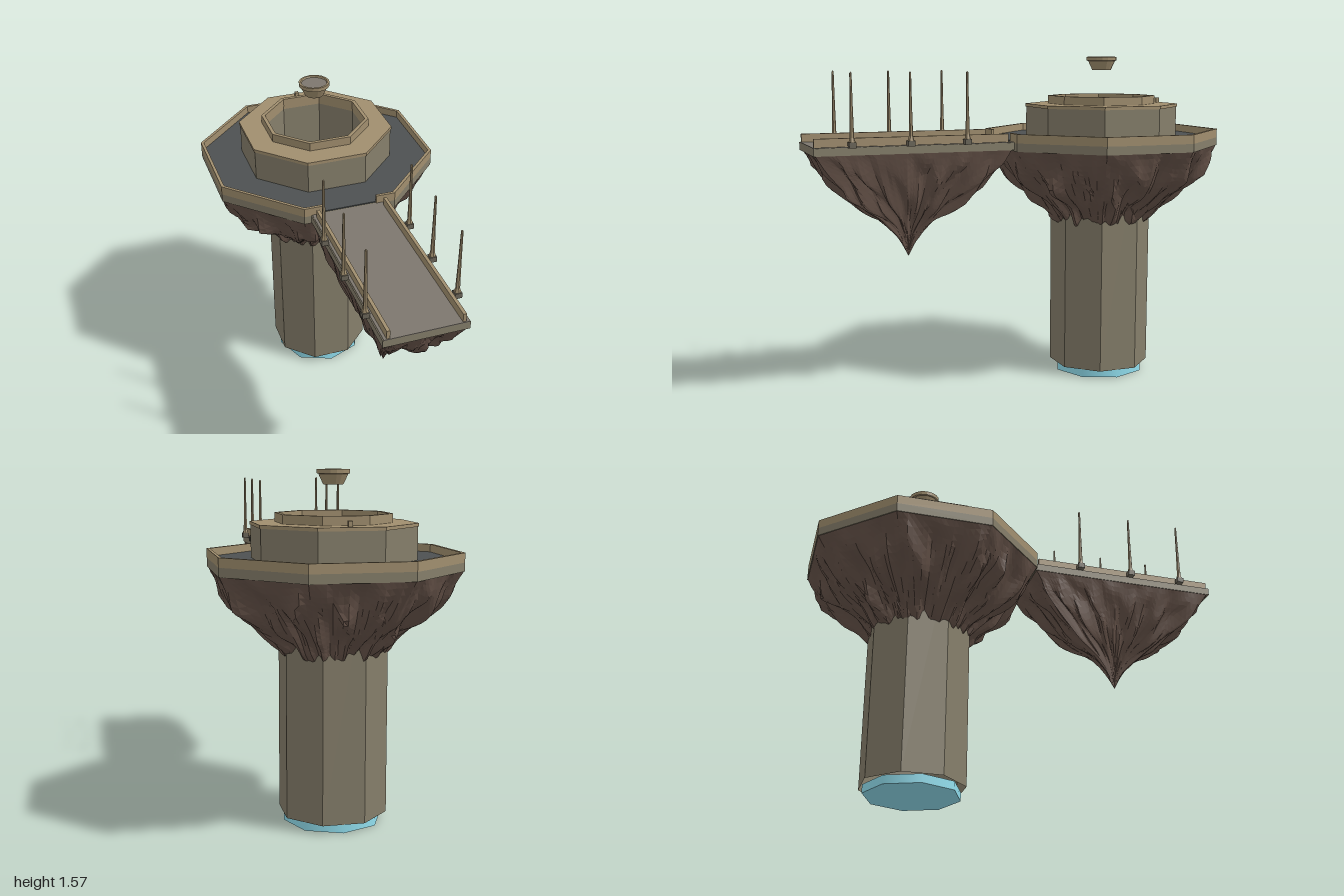
import * as THREE from 'three';

const mat = (color, side = THREE.FrontSide) =>
  new THREE.MeshStandardMaterial({ color, flatShading: true, side, roughness: 0.9 });
const stone = mat(0x857e6a);
const stoneOpen = mat(0x857e6a, THREE.DoubleSide);
const trim = mat(0xa08e6e);
const rockMat = mat(0x665349, THREE.DoubleSide);
const darkFloor = mat(0x4d5051);
const greyFloor = mat(0x7d776e);
const metal = mat(0x6a6558);
const blue = new THREE.MeshStandardMaterial({ color: 0x92e0f0 });

const CZ = -0.466;     // tower axis
const AP = 0.53;       // deck apothem
const T = Math.tan(Math.PI / 8);

// Octagon corners with flat sides on the axes
function octagon(ap) {
  const r = ap / Math.cos(Math.PI / 8);
  return Array.from({ length: 8 }, (_, i) => {
    const a = (i + 0.5) * Math.PI / 4;
    return new THREE.Vector2(r * Math.cos(a), r * Math.sin(a));
  });
}

function add(parent, name, geo, material, x = 0, y = 0, z = 0) {
  const m = new THREE.Mesh(geo, material);
  m.name = name;
  m.position.set(x, y, z);
  parent.add(m);
  return m;
}

// Octagonal ring with a hole, standing from y0 to y1
function octRing(parent, name, outer, inner, y0, y1, material) {
  const shape = new THREE.Shape(octagon(outer));
  shape.holes.push(new THREE.Path(octagon(inner).reverse()));
  const geo = new THREE.ExtrudeGeometry(shape, { depth: y1 - y0, bevelEnabled: false });
  geo.rotateX(-Math.PI / 2);
  return add(parent, name, geo, material, 0, y0, 0);
}

// Sharp-crested wave between -1 and 1
const crest = (a) => 1 - 2 * Math.abs(Math.sin(a / 2));

// Hanging rock: an outline shrunk down a profile of [scale, y], with wandering ridges
function hangingRock(outline, profile, seed, rough) {
  const N = 144, ROWS = 24;
  const shape = new THREE.Shape(outline);
  shape.closePath();
  const ring = shape.getSpacedPoints(N);
  const curve = new THREE.CatmullRomCurve3(profile.map(([s, y]) => new THREE.Vector3(s, y, 0)));
  const pos = [], idx = [];
  for (let j = 0; j <= ROWS; j++) {
    const t = j / ROWS, p = curve.getPoint(t);
    const fade = Math.min(1, t * 5);
    for (let i = 0; i <= N; i++) {
      const a = (i % N) / N * Math.PI * 2;
      const bend = Math.sin(4 * t + seed) + 0.5 * Math.sin(9 * t + 3 * a);
      const ridge = 0.5 * crest(10 * a + bend + seed)
        + 0.5 * crest(18 * a - 1.5 * bend + 2.1 * seed)
        + 0.4 * crest(32 * a + 2 * bend + 0.7 * seed)
        + 0.4 * Math.sin(5 * a + 12 * t + seed)
        + 0.3 * Math.sin(11 * a - 17 * t + seed);
      const k = p.x * (1 + rough * (ridge + 0.35) * fade * (0.6 + t));
      const drop = 0.025 * fade * (1 - t) * (Math.sin(13 * a + 11 * t + seed) + 0.6 * crest(26 * a + seed));
      pos.push(ring[i % N].x * k, p.y + drop, ring[i % N].y * k);
    }
  }
  for (let j = 0; j < ROWS; j++) {
    for (let i = 0; i < N; i++) {
      const a = j * (N + 1) + i, c = a + N + 1;
      idx.push(a, a + 1, c, a + 1, c + 1, c);
    }
  }
  const geo = new THREE.BufferGeometry();
  geo.setAttribute('position', new THREE.Float32BufferAttribute(pos, 3));
  geo.setIndex(idx);
  geo.computeVertexNormals();
  return geo;
}

function buildTower() {
  const tower = new THREE.Group();
  tower.name = 'tower';
  tower.position.z = CZ;

  // Hollow column on a glowing foot
  const colR = 0.227 / Math.cos(Math.PI / 8);
  const col = new THREE.CylinderGeometry(colR, colR, 1.1, 8, 1, true);
  col.rotateY(Math.PI / 8);
  add(tower, 'column', col, stoneOpen, 0, 0.59, 0);
  add(tower, 'foot', new THREE.CylinderGeometry(0.224, 0.224, 0.04, 8), blue, 0, 0.02, 0);

  // Rock under the deck, its tip running down inside the column
  add(tower, 'towerRock', hangingRock(octagon(AP), [[0.995, 1.137], [0.93, 1.07], [0.85, 1.0],
    [0.74, 0.94], [0.62, 0.885], [0.51, 0.835], [0.42, 0.775], [0.25, 0.71], [0.1, 0.65], [0, 0.58]],
    1.3, 0.07), rockMat);

  // Deck
  octRing(tower, 'deckSlab', AP, 0.23, 1.135, 1.175, stone);
  octRing(tower, 'deckFloor', AP - 0.012, 0.3, 1.175, 1.18, darkFloor);

  // Parapet, open at the front where the bridge meets
  const side = 2 * AP * T;
  for (let i = 0; i < 8; i++) {
    const holder = new THREE.Group();
    holder.name = 'parapetSide';
    holder.rotation.y = i * Math.PI / 4;
    tower.add(holder);
    if (i > 0) {
      add(holder, 'parapet', new THREE.BoxGeometry(side, 0.042, 0.014), trim, 0, 1.195, AP - 0.007);
    } else {
      for (const s of [-1, 1]) {
        add(holder, 'parapet', new THREE.BoxGeometry(0.09, 0.042, 0.014), trim,
          s * (side / 2 - 0.045), 1.195, AP - 0.007);
      }
    }
  }

  // Ring building with its roof and inner parapet
  octRing(tower, 'ringWall', 0.342, 0.227, 1.135, 1.325, stone);
  octRing(tower, 'ringRoof', 0.346, 0.227, 1.325, 1.34, trim);
  octRing(tower, 'roofParapet', 0.242, 0.225, 1.34, 1.38, trim);
  add(tower, 'roofPost', new THREE.BoxGeometry(0.018, 0.025, 0.018), trim, 0, 1.352, -0.31);

  // Floating bowl
  const bowl = [[0, 1.503], [0.045, 1.503], [0.066, 1.548], [0.073, 1.55], [0.074, 1.568],
    [0.064, 1.568], [0.06, 1.56]].map(([x, y]) => new THREE.Vector2(x, y));
  add(tower, 'bowl', new THREE.LatheGeometry(bowl, 16), trim);
  const disc = new THREE.CircleGeometry(0.062, 16);
  disc.rotateX(-Math.PI / 2);
  add(tower, 'bowlSurface', disc, greyFloor, 0, 1.561, 0);
  return tower;
}

function buildBridge() {
  const bridge = new THREE.Group();
  const BZ = 0.527, HX = 0.187, HZ = 0.465;
  bridge.name = 'bridge';
  bridge.position.z = BZ;

  add(bridge, 'bridgeSlab', new THREE.BoxGeometry(2 * HX, 0.035, 2 * HZ), stone, 0, 1.158, 0);
  add(bridge, 'bridgeFloor', new THREE.BoxGeometry(2 * HX - 0.01, 0.004, 2 * HZ), greyFloor, 0, 1.176, 0);

  // Rock under the bridge
  const rect = [[HX, HZ], [-HX, HZ], [-HX, -HZ], [HX, -HZ]].map(([x, z]) => new THREE.Vector2(x, z));
  add(bridge, 'bridgeRock', hangingRock(rect, [[0.985, 1.142], [0.88, 1.07], [0.74, 1.0], [0.59, 0.93],
    [0.44, 0.87], [0.28, 0.82], [0.15, 0.765], [0.07, 0.71], [0, 0.64]], 2.6, 0.08), rockMat);

  // Rails and lamp poles on both sides
  const pole = [[0.015, 0], [0.015, 0.012], [0.01, 0.03], [0.008, 0.12], [0.007, 0.16], [0.005, 0.31], [0, 0.315]]
    .map(([x, y]) => new THREE.Vector2(x, y));
  for (const s of [-1, 1]) {
    add(bridge, 'rail', new THREE.BoxGeometry(0.015, 0.04, 0.9), trim, s * 0.162, 1.196, 0.01);
    for (const z of [0.295, 0.56, 0.825]) {
      const lamp = new THREE.Group();
      lamp.name = 'lampPole';
      lamp.position.set(s * 0.2, 1.175, z - BZ);
      bridge.add(lamp);
      add(lamp, 'poleBase', new THREE.BoxGeometry(0.032, 0.025, 0.032), metal, 0, 0.0125, 0);
      add(lamp, 'pole', new THREE.LatheGeometry(pole, 6), trim, 0, 0.015, 0);
    }
  }
  return bridge;
}

export function createModel() {
  const model = new THREE.Group();
  model.name = 'floatingTower';
  model.add(buildTower(), buildBridge());
  return model;
}
